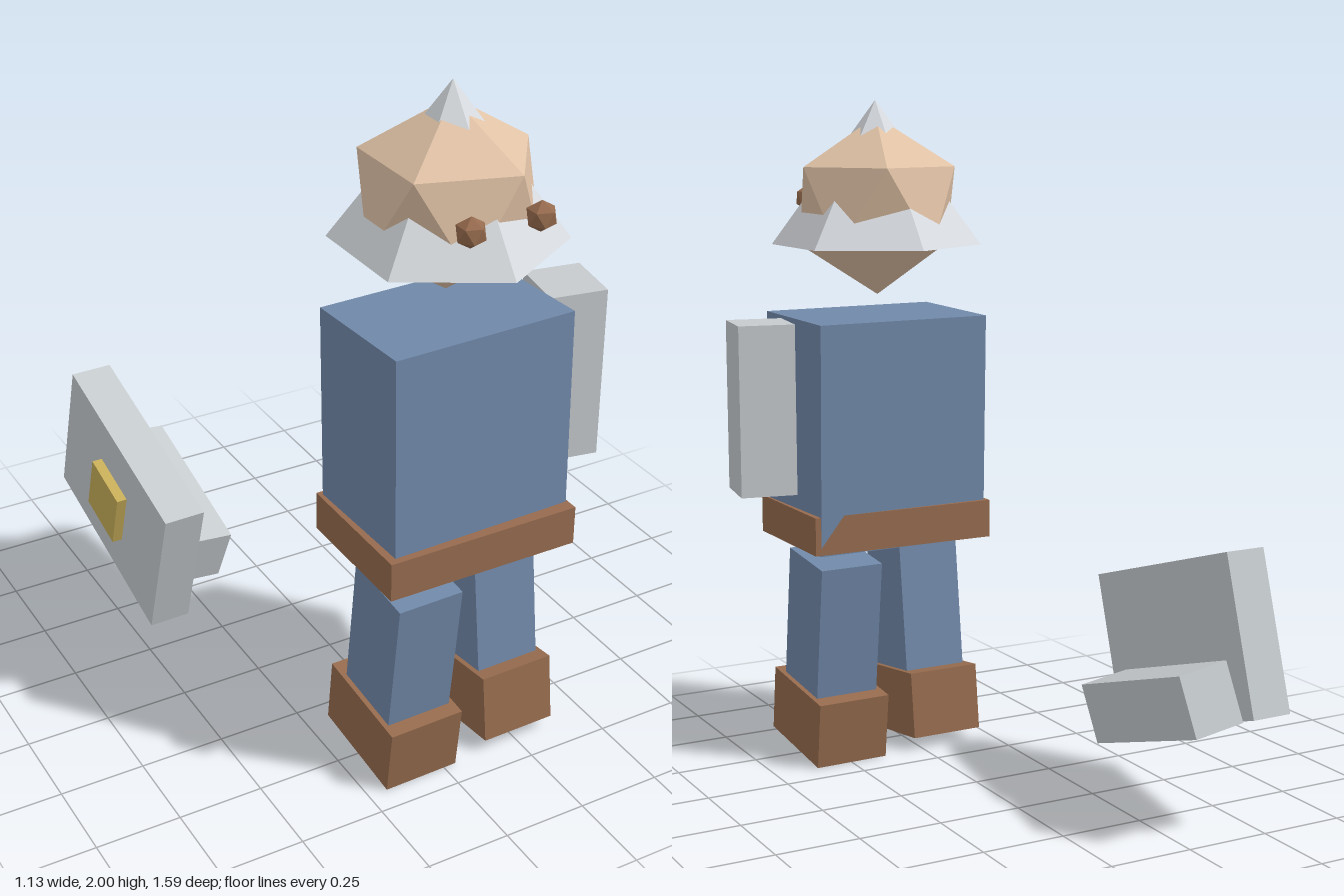
import * as THREE from 'three';

export function createModel() {
  const root = new THREE.Group();
  root.name = 'armouredFigure';

  const mat = (name, color) => {
    const m = new THREE.MeshStandardMaterial({ color, flatShading: true });
    m.name = name;
    return m;
  };
  const blue = mat('blueCloth', 0x7088a8);
  const brown = mat('brownLeather', 0x966b4e);
  const skin = mat('skin', 0xe0c2a6);
  const grey = mat('greyPlate', 0xc6cbce);
  const white = mat('paleSteel', 0xd8dce0);
  const gold = mat('gold', 0xc6ad58);

  const add = (name, geo, material, pos, rot = [0, 0, 0], parent = root) => {
    const m = new THREE.Mesh(geo, material);
    m.name = name;
    m.position.set(...pos);
    m.rotation.set(...rot);
    parent.add(m);
    return m;
  };
  const box = (name, size, material, pos, rot, parent) =>
    add(name, new THREE.BoxGeometry(...size), material, pos, rot, parent);

  // Twenty-sided ball standing on one of its corners
  const gem = (r) => {
    const g = new THREE.IcosahedronGeometry(r, 0);
    g.rotateZ(-Math.atan(2 / (1 + Math.sqrt(5))));
    return g;
  };

  // Body
  box('torso', [0.555, 0.69, 0.375], blue, [0.087, 1.016, 0.488], [-0.024, 0.03, 0]);
  box('belt', [0.585, 0.115, 0.41], brown, [0.084, 0.7275, 0.505]);

  // Legs, swung in opposite directions
  for (const [side, x, legZ, bootZ, swing] of [
    ['left', 0.252, 0.462, 0.4925, -0.12],
    ['right', -0.08, 0.563, 0.5225, 0.12],
  ]) {
    box(side + 'Leg', [0.2, 0.45, 0.23], blue, [x, 0.409, legZ], [swing, 0.02, 0]);
    box(side + 'Boot', [0.23, 0.203, 0.332], brown, [x, 0.124, bootZ], [swing, 0.02, 0]);
  }

  // Hanging left arm
  box('leftArm', [0.168, 0.508, 0.18], grey, [0.469, 1.1, 0.475], [0, -0.175, 0]);

  // Head poking through a six-sided pointed helmet
  add('head', gem(0.266), skin, [0.085, 1.686, 0.474]);
  add('helmet', new THREE.ConeGeometry(0.317, 0.43, 6), white, [0.085, 1.785, 0.478]);
  for (const x of [-0.012, 0.195]) add('eye', gem(0.043), brown, [x, 1.702, 0.73]);

  // Right arm reaching back
  box('rightArm', [0.16, 0.175, 0.505], grey, [-0.307, 0.34, -0.508], [0.3, 0.015, -0.14]);

  // Shield with a raised boss
  const shield = new THREE.Group();
  shield.name = 'shield';
  shield.position.set(-0.471, 0.475, -0.412);
  shield.rotation.set(0.3, 0.022, 0, 'YXZ');
  root.add(shield);
  box('shieldPlate', [0.124, 0.46, 0.66], grey, [0, 0, 0], [0, 0, 0], shield);
  box('shieldBoss', [0.04, 0.18, 0.18], gold, [-0.073, 0, 0], [0, 0, 0], shield);

  return root;
}
